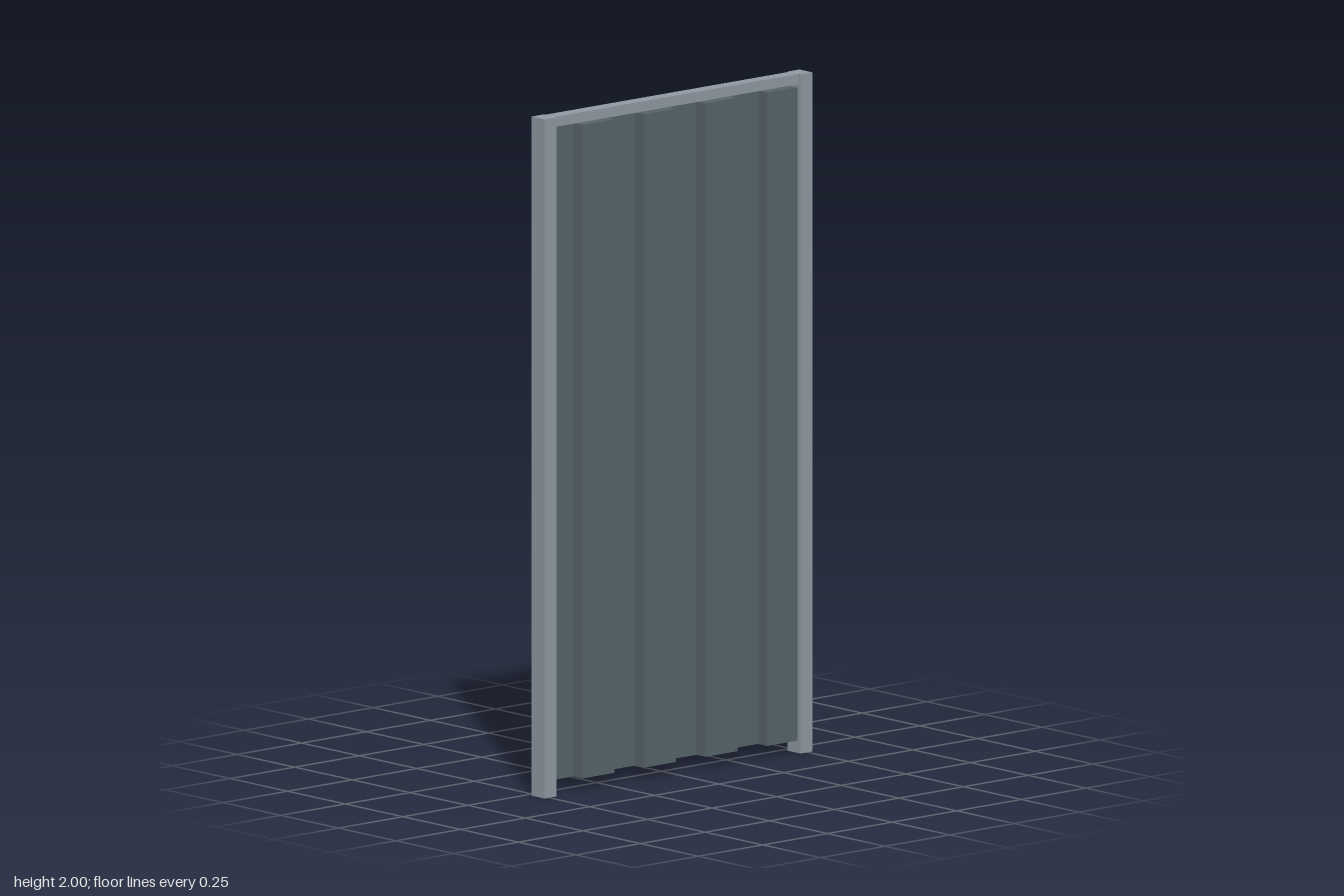
import * as THREE from 'three';

export function createModel() {
  const model = new THREE.Group();
  model.name = 'corrugatedDoor';

  const frameGrey = new THREE.MeshStandardMaterial({ color: 0x9099a2 });
  frameGrey.name = 'frame grey';
  const panelSlate = new THREE.MeshStandardMaterial({ color: 0x56636a });
  panelSlate.name = 'panel slate';

  // Box given by its lower and upper corner
  const addBox = (name, material, [x0, y0, z0], [x1, y1, z1]) => {
    const mesh = new THREE.Mesh(new THREE.BoxGeometry(x1 - x0, y1 - y0, z1 - z0), material);
    mesh.position.set((x0 + x1) / 2, (y0 + y1) / 2, (z0 + z1) / 2);
    mesh.name = name;
    model.add(mesh);
  };

  // Frame: two posts and a thinner top rail between them
  addBox('rightPost', frameGrey, [-0.518, 0, 0.018], [-0.472, 2, 0.074]);
  addBox('leftPost', frameGrey, [0.472, 0, 0.018], [0.518, 2, 0.074]);
  addBox('topRail', frameGrey, [-0.472, 1.97, 0.024], [0.472, 2, 0.066]);

  // Eight slats, alternating between the back and front layers
  const pitch = 0.119;
  const halfWidth = 0.062;
  for (let i = 0; i < 8; i++) {
    const x = (i - 3.5) * pitch;
    const front = i % 2 === 1;
    const z = front ? 0.022 : -0.018;
    addBox(front ? 'frontSlat' : 'backSlat', panelSlate,
      [x - halfWidth, 0.036, z], [x + halfWidth, 1.96, z + 0.039]);
  }

  // Cover strip over the central seam, with its latch
  addBox('coverStrip', panelSlate, [-0.048, 0.056, -0.054], [0.048, 1.94, -0.01]);
  addBox('latch', panelSlate, [0.017, 0.865, -0.074], [0.063, 0.97, -0.052]);

  return model;
}
